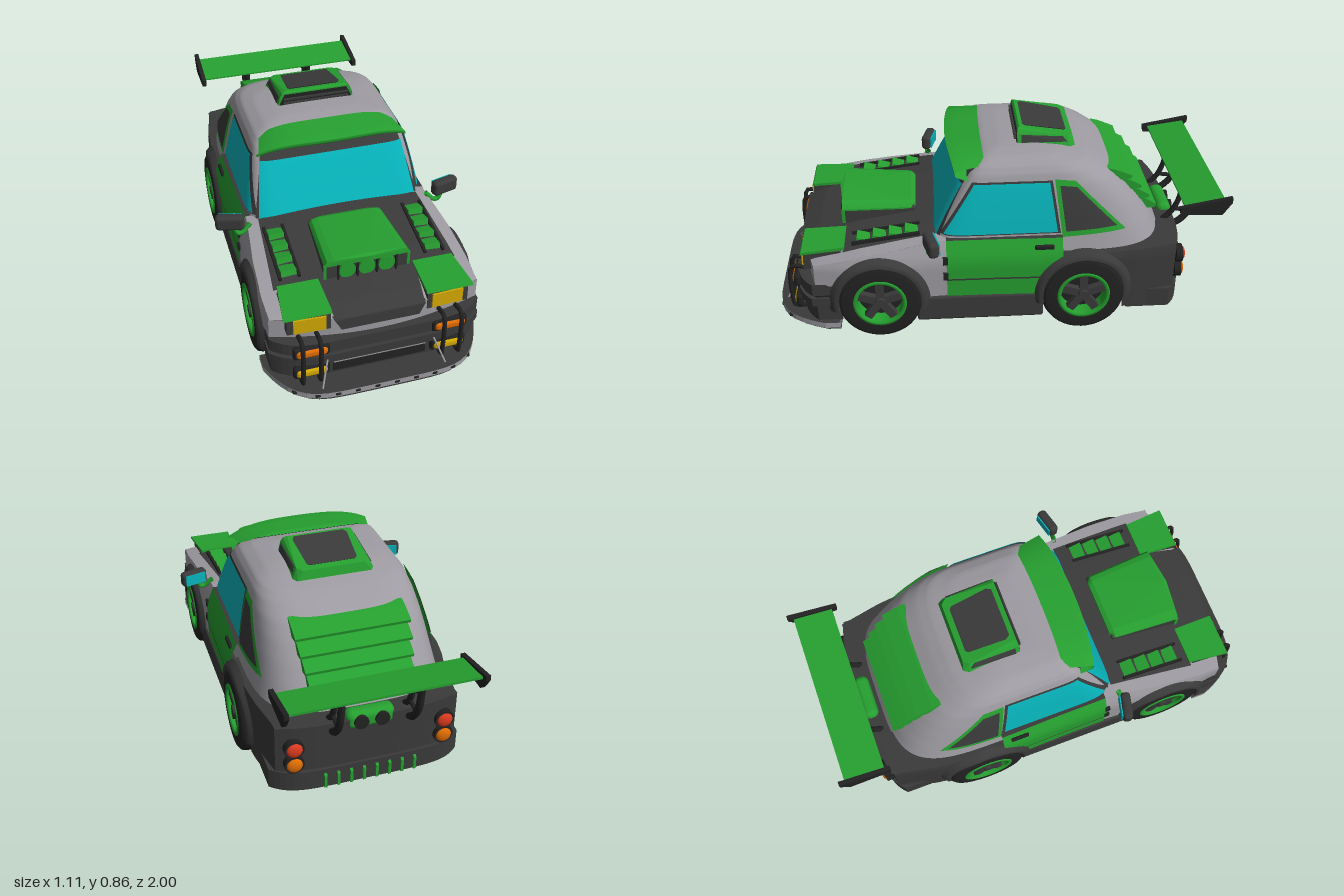
import * as THREE from 'three';
import { RoundedBoxGeometry } from 'three/addons/geometries/RoundedBoxGeometry.js';
import { ConvexGeometry } from 'three/addons/geometries/ConvexGeometry.js';

const paint = (name, color) => new THREE.MeshStandardMaterial({ name, color, side: THREE.DoubleSide });
const grey = paint('light grey paint', 0x9d9ba1), dark = paint('dark trim', 0x3a3a3b), black = paint('black rubber', 0x222223);
const green = paint('green paint', 0x26a030), glass = paint('cyan glass', 0x06b4bb), yellow = paint('yellow lamp', 0xd2a804);
const orange = paint('orange lamp', 0xde6c04), red = paint('red lamp', 0xd83a1e);

const V = (x, y, z) => new THREE.Vector3(x, y, z);
const lerp = THREE.MathUtils.lerp;
// piecewise-linear lookup in rows sorted by their first column
function look(rows, k, col = 1) {
  if (k <= rows[0][0]) return rows[0][col];
  for (let i = 1; i < rows.length; i++) if (k <= rows[i][0])
    return lerp(rows[i - 1][col], rows[i][col], (k - rows[i - 1][0]) / (rows[i][0] - rows[i - 1][0]));
  return rows[rows.length - 1][col];
}

// lower body: plan half width, shoulder tuck, top height, wheel arch
const plan = [[-.82, .385], [-.78, .395], [-.6, .432], [-.4, .455], [-.2, .452], [0, .447], [.25, .445], [.5, .46], [.7, .457], [.81, .447], [.9, .425]];
const tuck = [[.36, 0], [.4, .01], [.46, .035]];
const topLine = [[.28, .455], [.4, .44], [.6, .412], [.8, .375], [.88, .345]];
const bodyX = (y, z) => look(plan, z) - look(tuck, y);
const hoodY = (x, z) => look(topLine, z) + .02 * (1 - (x / .45) ** 2);
const noseZ = u => .875 - .07 * u * u;
const FRONT = .53, REAR = -.365, AXLE = .187;
function lowEdge(z, base) {
  for (const c of [FRONT, REAR]) if (Math.abs(z - c) < .18) return Math.max(base, AXLE + Math.sqrt(.0324 - (z - c) ** 2));
  return z > FRONT ? .275 : base;
}

// cabin: horizontal slices [y, front z, rear z, half width], each a superellipse
const cabin = [[.36, .31, -.75, .42], [.46, .28, -.7, .398], [.55, .235, -.64, .382], [.62, .198, -.585, .368], [.68, .165, -.525, .354],
  [.73, .133, -.45, .338], [.76, .105, -.39, .316], [.785, .06, -.29, .265], [.797, -.01, -.2, .185], [.8, -.1, -.11, .01]];
const NOSE = 12, TAIL = 4;
function slice(y) {
  const f = look(cabin, y, 1), r = look(cabin, y, 2);
  return { c: (f + r) / 2, h: (f - r) / 2, w: look(cabin, y, 3) };
}
const bulge = (q, n) => (1 - Math.min(1, Math.abs(q)) ** n) ** (1 / n);
function cabinX(y, z) { const s = slice(y), q = (z - s.c) / s.h; return s.w * bulge(q, q > 0 ? NOSE : TAIL); }
function cabinZ(x, y, dir) { const s = slice(y); return s.c + dir * s.h * bulge(x / s.w, dir > 0 ? NOSE : TAIL); }

function add(parent, name, geo, mat, x = 0, y = 0, z = 0) {
  const m = new THREE.Mesh(geo, mat);
  m.name = name; m.position.set(x, y, z); parent.add(m);
  return m;
}
const box = (p, name, mat, w, h, d, x, y, z) => add(p, name, new THREE.BoxGeometry(w, h, d), mat, x, y, z);
const soft = (p, name, mat, w, h, d, r, x, y, z) => add(p, name, new RoundedBoxGeometry(w, h, d, 3, r), mat, x, y, z);
const hull = (p, name, mat, pts) => add(p, name, new ConvexGeometry(pts.map(a => V(...a))), mat);
const tube = (p, name, mat, pts, r) => add(p, name, new THREE.TubeGeometry(new THREE.CatmullRomCurve3(pts.map(a => V(...a))), 16, r, 8), mat);
// smooth grid surface from fn(u, v)
function patch(p, name, mat, fn, nu = 24, nv = 8) {
  const pos = [], idx = [];
  for (let j = 0; j <= nv; j++) for (let i = 0; i <= nu; i++) {
    pos.push(...fn(i / nu, j / nv));
    if (i < nu && j < nv) { const a = j * (nu + 1) + i, b = a + nu + 1; idx.push(a, a + 1, b, a + 1, b + 1, b); }
  }
  const g = new THREE.BufferGeometry();
  g.setAttribute('position', new THREE.Float32BufferAttribute(pos, 3));
  g.setIndex(idx); g.computeVertexNormals();
  return add(p, name, g, mat);
}
// four-cornered [z, y] panel laid on the cabin side
function cabinPanel(p, name, mat, q, off, scale = 1) {
  const cz = q.reduce((s, a) => s + a[0], 0) / 4, cy = q.reduce((s, a) => s + a[1], 0) / 4;
  const k = q.map(a => [lerp(cz, a[0], scale), lerp(cy, a[1], scale)]);
  patch(p, name, mat, (u, v) => {
    const z = lerp(lerp(k[0][0], k[1][0], u), lerp(k[3][0], k[2][0], u), v), y = lerp(lerp(k[0][1], k[1][1], u), lerp(k[3][1], k[2][1], u), v);
    return [cabinX(y, z) + off, y, z];
  }, 24, 14);
}
// horizontal slab with a bowed end; mat may be [caps, edge]
function slab(p, name, mat, w, zb, zf, bow, y0, y1) {
  const s = new THREE.Shape([new THREE.Vector2(-w, zb)]);
  for (let i = 0; i <= 28; i++) { const u = Math.sin((i / 14 - 1) * Math.PI / 2); s.lineTo(u * w, zf - bow * u ** 6); }
  s.lineTo(w, zb);
  const g = new THREE.ExtrudeGeometry(s, { depth: y1 - y0, bevelEnabled: false });
  add(p, name, g.rotateX(Math.PI / 2), mat, 0, y1, 0);
}

function wheel(p, name, z) {
  const g = new THREE.Group(); g.name = name; g.position.set(.385, AXLE, z); p.add(g);
  const lathe = pts => new THREE.LatheGeometry(pts.map(a => new THREE.Vector2(...a)), 40).rotateZ(-Math.PI / 2);
  add(g, 'tyre', lathe([[.1, -.09], [.165, -.09], [.179, -.08], [.186, -.06], [.186, .06], [.179, .08], [.165, .09], [.108, .09]]), black);
  add(g, 'rimRing', lathe([[.1, .02], [.098, .086], [.104, .095], [.116, .094], [.118, .086]]), green);
  add(g, 'wheelBack', new THREE.CylinderGeometry(.1, .1, .1, 32).rotateZ(Math.PI / 2), black, -.025);
  for (let i = 0; i < 5; i++)
    add(g, 'spoke', new THREE.BoxGeometry(.03, .085, .036).translate(0, .055, 0).rotateX(i * Math.PI * .4), dark, .066);
  add(g, 'hub', new THREE.CylinderGeometry(.022, .028, .05, 16).rotateZ(-Math.PI / 2), dark, .066);
}

function buildSide(p) {
  // body sides
  const side = (name, mat, z0, z1, base, top, off = 0) => patch(p, name, mat, (u, v) => {
    const z = lerp(z0, z1, u), y = lerp(lowEdge(z, base), top(z), v);
    return [bodyX(y, z) + off, y, z];
  }, 64, 10);
  side('frontFender', grey, .235, .805, .19, z => look(topLine, z) + .02 * (1 - (bodyX(.42, z) / .45) ** 2));
  side('door', green, -.27, .235, .19, () => .46, .004);
  side('rearFender', dark, -.78, -.265, .09, () => .385);
  side('doorCrease', dark, -.17, .235, .278, () => .286, .008);
  patch(p, 'beltStrip', dark, (u, v) => { const z = lerp(-.27, .235, u); return [lerp(.34, bodyX(.46, z) + .004, v), .46, z]; });
  patch(p, 'rearShelf', dark, (u, v) => { const z = lerp(-.79, -.26, u); return [lerp(.2, bodyX(.385, z), v), .385 + .01 * (1 - v), z]; });
  soft(p, 'doorHandle', black, .016, .022, .085, .007, bodyX(.425, -.19) + .008, .425, -.19);
  for (const y of [.375, .3]) box(p, 'doorHinge', black, .014, .035, .022, bodyX(y, .24) + .003, y, .24);
  soft(p, 'sill', dark, .06, .125, .56, .012, .428, .133, .09);
  // wheels, flared arches and wells
  for (const [n, c] of [['front', FRONT], ['rear', REAR]]) {
    wheel(p, n + 'Wheel', c);
    patch(p, n + 'Flare', dark, (u, v) => {
      const a = lerp(-.2, Math.PI + .2, u), k = Math.min(2, Math.floor(v * 3)), f = v * 3 - k;
      const r = lerp([.174, .178, .2][k], [.178, .2, .224][k], f), y = AXLE + r * Math.sin(a), z = c + r * Math.cos(a);
      return [bodyX(y, z) + lerp([-.05, .022, .02][k], [.022, .02, -.004][k], f), y, z];
    }, 40, 9);
    add(p, n + 'Well', new THREE.CylinderGeometry(.187, .187, .19, 32, 1, true, Math.PI / 2, Math.PI).rotateX(Math.PI / 2).rotateY(Math.PI / 2), black, .34, AXLE, c);
  }
  // side windows
  const win = [[.245, .478], [-.25, .478], [-.215, .698], [.108, .698]];
  cabinPanel(p, 'sideWindowFrame', dark, win, .006, 1.06);
  cabinPanel(p, 'sideWindow', glass, win, .01);
  const quarter = [[-.27, .457], [-.55, .472], [-.325, .702], [-.235, .713]];
  cabinPanel(p, 'quarterFrame', green, quarter, .014);
  cabinPanel(p, 'quarterPanel', dark, quarter, .018, .8);
  // mirror
  soft(p, 'mirror', dark, .125, .072, .046, .018, .493, .495, .3).rotation.y = .25;
  box(p, 'mirrorGlass', glass, .1, .052, .006, .487, .495, .276).rotation.y = .25;
  tube(p, 'mirrorArm', green, [[.405, .47, .3], [.44, .437, .31], [.462, .437, .31], [.475, .465, .308]], .011);
  // pop-up headlight
  hull(p, 'headlightBox', dark, [[.205, 0], [.385, -.008]].flatMap(([x, d]) => [[x, .322, .864 + d], [x, .405, .86 + d], [x, .33, .69], [x, .405, .69]]));
  hull(p, 'headlightLid', green, [[.205, .2], [.38, .4]].flatMap(([xb, xf]) => [[xf, .404, .866], [xf, .416, .86], [xb, .41, .675], [xb, .425, .675]]));
  box(p, 'headlight', yellow, .135, .068, .008, .292, .362, .863).rotation.y = .045;
  // bumper lamps and bull bars
  for (const [n, m, y] of [['indicator', orange, .25], ['fogLamp', yellow, .142]]) {
    soft(p, n + 'Frame', black, .155, .06, .03, .014, .295, y, .893);
    soft(p, n, m, .135, .044, .036, .017, .295, y, .898);
  }
  for (const x of [.262, .337]) tube(p, 'bullBar', black, [[x, .3, .85], [x, .31, .912], [x, .27, .925], [x, .14, .925], [x, .1, .918], [x, .1, .86]], .01);
  tube(p, 'splitterRod', grey, [[.228, .19, .9], [.247, .14, .93], [.265, .09, .96]], .004);
  for (let i = 0; i < 5; i++) { const x = .042 + i * .083; soft(p, 'splitterBolt', black, .024, .016, .03, .006, x, .077, .983 - .22 * (x / .472) ** 6); }
  // bonnet louvres
  for (let i = 0; i < 4; i++) {
    const z = .39 + i * .07, y = hoodY(.31, z);
    hull(p, 'bonnetLouvre', green, [.282, .348].flatMap(x => [[x, y, z - .035], [x, y, z + .028], [x, y + .027, z + .02], [x, y + .012, z - .035]]));
  }
  for (const x of [.274, .356]) box(p, 'louvreRail', black, .012, .022, .3, x, hoodY(.31, .5) + .008, .495).rotation.x = .14;
  // tail lamps
  for (const [n, m, y] of [['tailLamp', red, .293], ['rearIndicator', orange, .215]]) {
    add(p, n + 'Ring', new THREE.CylinderGeometry(.042, .042, .03, 24).rotateX(Math.PI / 2), black, .325, y, -.812);
    add(p, n, new THREE.SphereGeometry(.034, 24, 12).scale(1, 1, .5), m, .325, y, -.826);
  }
  // wing stand and end plate
  tube(p, 'wingStandRear', black, [[.165, .35, -.74], [.165, .355, -.83], [.165, .44, -.9], [.165, .575, -.925]], .016);
  tube(p, 'wingStandFront', black, [[.165, .37, -.76], [.165, .42, -.81], [.165, .5, -.84], [.165, .575, -.84]], .013);
  tube(p, 'wingBrace', black, [[.165, .43, -.81], [.165, .42, -.89]], .01);
  tube(p, 'wingBrace', black, [[.165, .49, -.84], [.165, .55, -.92]], .01);
  hull(p, 'wingEndPlate', black, [.394, .414].flatMap(x => [[x, .58, -.775], [x, .622, -1], [x, .598, -1], [x, .54, -.962], [x, .547, -.78]]));
  // roof scoop side panel
  hull(p, 'roofScoopSide', dark, [0, .006].flatMap(d => [[.174 + d, .8, -.108], [.163 + d, .832, -.108], [.16 + d, .817, -.29], [.17 + d, .797, -.31]]));
}

export function createModel() {
  const car = new THREE.Group(); car.name = 'car';
  for (const [n, s] of [['leftSide', 1], ['rightSide', -1]]) {
    const g = new THREE.Group(); g.name = n; g.scale.x = s; car.add(g); buildSide(g);
  }
  // cabin shell and windscreen
  const rows = cabin.length - 1;
  patch(car, 'cabin', grey, (u, v) => {
    const i = Math.min(rows - 1, Math.floor(v * rows)), y = lerp(cabin[i][0], cabin[i + 1][0], v * rows - i), s = slice(y);
    const t = Math.PI * (.5 + 2 * u), c = Math.cos(t), q = Math.sin(t), e = 2 / (q > 0 ? NOSE : TAIL);
    return [s.w * Math.sign(c) * Math.abs(c) ** e, y, s.c + s.h * Math.sign(q) * Math.abs(q) ** e];
  }, 128, rows * 4);
  const screen = (name, mat, y0, y1, w0, w1, off) => patch(car, name, mat, (u, v) => {
    const x = (2 * u - 1) * lerp(w0, w1, v), y = lerp(y0, y1, v);
    return [x, y, cabinZ(x, y, 1) + off];
  }, 32, 14);
  screen('windscreenSurround', dark, .44, .757, .378, .305, .007);
  screen('windscreen', glass, .45, .688, .362, .324, .012);
  // sun visor above the windscreen
  patch(car, 'visor', green, (u, v) => {
    const x = 2 * u - 1, k = Math.min(2, Math.floor(v * 3)), f = v * 3 - k, b = x * x;
    const sec = [[.07 - .01 * b, .801, .3], [.225 - .035 * b, .787, .332], [.222 - .035 * b, .768, .338], [.115 - .005 * b, .75 - .02 * b ** 3, .33]];
    const [z, y, w] = [0, 1, 2].map(i => lerp(sec[k][i], sec[k + 1][i], f));
    return [x * w, y - .04 * x ** 4, z];
  }, 32, 9);
  // bonnet and nose
  patch(car, 'frontDeck', grey, (a, v) => {
    const u = 2 * a - 1, z = lerp(.235, noseZ(u), v), x = u * bodyX(look(topLine, z), z);
    return [x, hoodY(x, z), z];
  }, 40, 24);
  patch(car, 'nosePanel', grey, (a, v) => {
    const u = 2 * a - 1, z = noseZ(u), x = u * bodyX(.34, z);
    return [x, lerp(.26, hoodY(x, z), v), z];
  }, 40, 4);
  const bonnet = (name, z0, z1, w0, w1) => patch(car, name, dark, (u, v) => {
    const z = lerp(z0, z1, v), x = (2 * u - 1) * lerp(w0, w1, v);
    return [x, hoodY(x, z) + .007, z];
  }, 24, 16);
  bonnet('bonnet', .28, .68, .365, .395);
  bonnet('bonnetNose', .67, .875, .21, .19);
  hull(car, 'bonnetLip', dark, [-1, 1].flatMap(s => [[s * .2, .372, .845], [s * .19, .372, .88], [s * .165, .32, .882], [s * .165, .32, .845]]));
  // bonnet scoop
  const ring = (z, w, y0, y1, y2) => [-1, 1].flatMap(s => [[s * w, y0, z], [s * w, y1, z], [s * w * .93, lerp(y1, y2, .7), z], [s * w * .78, y2, z]]);
  hull(car, 'scoopBody', dark, [...ring(.685, .178, .4, .485, .51), ...ring(.37, .165, .44, .48, .49)]);
  hull(car, 'scoopTop', green, [...ring(.69, .184, .488, .496, .523), ...ring(.385, .165, .478, .485, .505), ...ring(.365, .14, .478, .48, .495), [0, .528, .69], [0, .523, .708], [0, .5, .708]]);
  for (const x of [-.085, 0, .085]) add(car, 'intakeTrumpet', new THREE.CylinderGeometry(.036, .036, .02, 24).rotateX(Math.PI / 2), green, x, .455, .684);
  for (const x of [-.125, -.042, .042, .125]) box(car, 'scoopBar', black, .008, .08, .012, x, .455, .694);
  for (const s of [-1, 1]) box(car, 'scoopSideTrim', green, .012, .065, .014, s * .18, .46, .686);
  // roof scoop
  hull(car, 'roofScoop', green, [-1, 1].flatMap(s => [[s * .182, .775, -.09], [s * .165, .838, -.09], [s * .155, .853, -.092], [s * .138, .861, -.1],
    [s * .18, .775, -.32], [s * .165, .775, -.345], [s * .16, .82, -.31], [s * .138, .815, -.335]]));
  hull(car, 'roofScoopPanel', dark, [-1, 1].flatMap(s => [[s * .112, .863, -.115], [s * .124, .858, -.135], [s * .112, .827, -.3], [s * .1, .824, -.31], [s * .112, .85, -.125], [s * .1, .815, -.3]]));
  hull(car, 'roofScoopMouth', black, [-1, 1].flatMap(s => [[s * .17, .795, -.087], [s * .145, .847, -.087], [s * .17, .795, -.095], [s * .145, .847, -.095]]));
  for (const y of [.808, .827]) box(car, 'roofScoopSlat', dark, .3, .007, .012, 0, y, -.084);
  // rear window louvres
  for (let i = 0; i < 4; i++) {
    const a = .693 - i * .055, b = a - .055, w = .25 - i * .008, za = cabinZ(0, a, -1), zb = cabinZ(0, b, -1);
    hull(car, 'rearLouvre', green, [-w, w].flatMap(x => [[x, a + .006, za + .025], [x, a - .004, za - .014], [x, b + .02, zb - .026], [x, b + .006, zb - .022], [x, b, zb + .03]]));
  }
  // front bumper and splitter
  slab(car, 'bumperUpper', dark, .452, .7, .9, .08, .225, .282);
  slab(car, 'bumperMiddle', black, .445, .7, .885, .08, .21, .225);
  slab(car, 'bumperBand', dark, .456, .7, .905, .08, .172, .212);
  slab(car, 'bumperLower', dark, .446, .7, .885, .08, .088, .172);
  box(car, 'grilleBar', grey, .4, .012, .012, 0, .157, .886);
  box(car, 'grille', black, .4, .045, .01, 0, .125, .884);
  slab(car, 'splitter', [dark, grey], .472, .71, .995, .22, .064, .09);
  slab(car, 'splitterBase', dark, .455, .71, .985, .22, .045, .064);
  // tail
  patch(car, 'tailPanel', dark, (a, v) => { const u = 2 * a - 1, z = -.82 + .04 * u ** 4; return [u * .395, lerp(.09, .385, v), z]; }, 32, 4);
  patch(car, 'tailDeck', dark, (a, v) => { const u = 2 * a - 1; return [u * .395, .385, lerp(-.6, -.82 + .04 * u ** 4, v)]; }, 32, 4);
  slab(car, 'rearBumper', dark, .42, -.57, -.832, -.07, .072, .165);
  soft(car, 'exhaustHousing', green, .21, .085, .07, .03, 0, .372, -.79);
  for (const x of [-.045, .045]) add(car, 'exhaustPipe', new THREE.CylinderGeometry(.031, .031, .07, 24).rotateX(Math.PI / 2), black, x, .372, -.8);
  for (let i = 0; i < 8; i++) {
    const x = -.196 + i * .056;
    hull(car, 'diffuserFin', green, [x - .006, x + .006].flatMap(k => [[k, .15, -.825], [k, .135, -.842], [k, .075, -.842], [k, .058, -.7], [k, .1, -.68]]));
  }
  // rear wing
  hull(car, 'wingBlade', green, [-.4, .4].flatMap(x => [[x, .57, -.8], [x, .577, -.8], [x, .582, -.9], [x, .602, -.975], [x, .592, -.975], [x, .565, -.88]]));
  // underside
  box(car, 'chassis', dark, .5, .22, 1.6, 0, .215, .03);
  box(car, 'floorPan', dark, .82, .1, .54, 0, .14, .09);
  box(car, 'driveTunnel', black, .1, .03, 1.2, 0, .095, 0);
  for (const x of [-.22, .22]) box(car, 'frameRail', dark, .05, .04, 1.4, x, .095, .02);
  for (const z of [FRONT, REAR]) add(car, 'axle', new THREE.CylinderGeometry(.02, .02, .6, 12).rotateZ(Math.PI / 2), black, 0, .13, z);
  soft(car, 'silencer', dark, .4, .07, .13, .02, 0, .085, -.595);
  return car;
}
